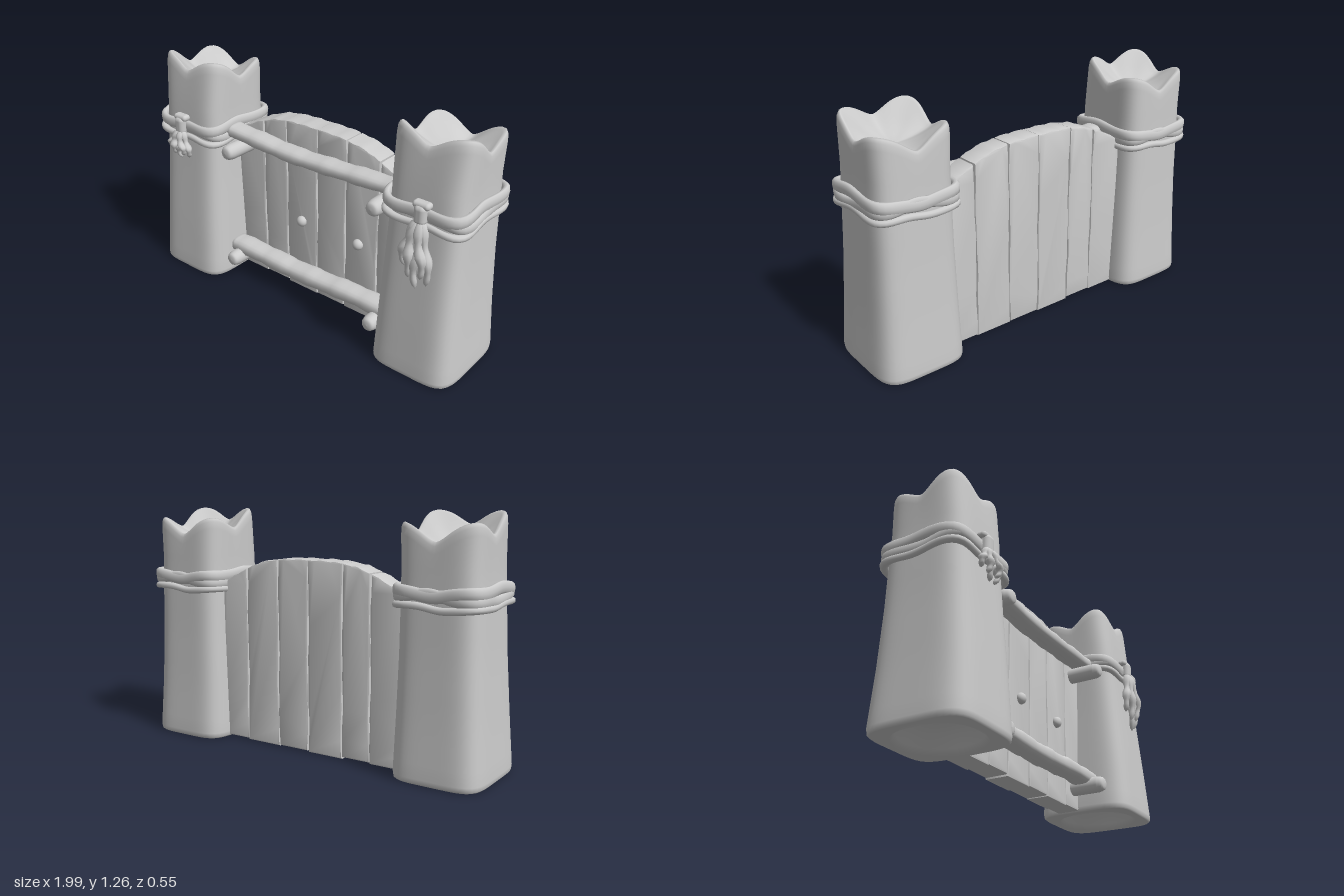
import * as THREE from 'three';
import { toCreasedNormals } from 'three/addons/utils/BufferGeometryUtils.js';
import { RoundedBoxGeometry } from 'three/addons/geometries/RoundedBoxGeometry.js';

const material = new THREE.MeshStandardMaterial({ color: 0xcccccc, roughness: 0.8 });
const lerp = THREE.MathUtils.lerp;

function add(parent, name, geometry, x = 0, y = 0, z = 0) {
  const mesh = new THREE.Mesh(geometry, material);
  mesh.name = name;
  mesh.position.set(x, y, z);
  parent.add(mesh);
  return mesh;
}

// Skin over a list of equal rings of [x, y, z] points
function loft(rings, closed = false) {
  const n = rings[0].length, m = rings.length, index = [];
  for (let i = 0; i < (closed ? m : m - 1); i++) {
    for (let j = 0; j < n; j++) {
      const k = (j + 1) % n, up = ((i + 1) % m) * n;
      const a = i * n + j, b = i * n + k, c = up + j, d = up + k;
      index.push(a, c, b, b, c, d);
    }
  }
  const g = new THREE.BufferGeometry();
  g.setAttribute('position', new THREE.Float32BufferAttribute(rings.flat(2), 3));
  g.setIndex(index);
  g.computeVertexNormals();
  return g;
}

// Unit rounded square: p = 2 is a circle, higher is squarer
function squircle(t, p) {
  const c = Math.cos(t), s = Math.sin(t);
  const r = (Math.abs(c) ** p + Math.abs(s) ** p) ** (-1 / p);
  return [c * r, s * r];
}
const ring = (n, f) => Array.from({ length: n }, (_, j) => f((j / n) * Math.PI * 2));

// Post outline by height: y, inner x, outer x, back z, front z
const levels = [
  [0, 0.53, 0.998, -0.265, 0.265], [0.3, 0.54, 0.98, -0.25, 0.242], [0.6, 0.55, 0.967, -0.241, 0.215],
  [0.87, 0.555, 0.962, -0.238, 0.193], [1.02, 0.555, 0.957, -0.236, 0.185], [1.26, 0.545, 0.972, -0.24, 0.16],
];
function outline(y) {
  let i = 0;
  while (i < levels.length - 2 && y > levels[i + 1][0]) i++;
  const a = levels[i], b = levels[i + 1];
  const t = THREE.MathUtils.clamp((y - a[0]) / (b[0] - a[0]), 0, 1);
  const [, x0, x1, z0, z1] = a.map((v, k) => lerp(v, b[k], t));
  return { cx: (x0 + x1) / 2, hx: (x1 - x0) / 2, cz: (z0 + z1) / 2, hz: (z1 - z0) / 2 };
}

function postGeometry(side) {
  const rimY = t => 1.155 + 0.035 * Math.sin(t) + 0.076 * Math.abs(Math.sin(2 * t)) ** 1.5;
  const slice = (scale, p, height) => ring(72, t => {
    const y = height(t), o = outline(y), [x, z] = squircle(t, p);
    return [side * o.cx + x * o.hx * scale, y, o.cz + z * o.hz * scale];
  });
  const rings = [];
  // hollow underside and rounded foot
  for (const [s, p, y] of [[0, 2, 0.12], [0.3, 2, 0.11], [0.55, 2, 0.075], [0.72, 2.2, 0.025], [0.78, 2.5, 0],
    [0.95, 5, 0], [0.985, 5, 0.008], [1, 5, 0.03]]) rings.push(slice(s, p, () => y));
  // flared trunk
  for (let y = 0.1; y < 1.05; y += 0.1) rings.push(slice(1, 5, () => y));
  // wavy rim and dished top
  for (const [s, d] of [[1, 0.055], [0.985, 0.02], [0.955, 0.004], [0.92, 0], [0.87, 0.012]])
    rings.push(slice(s, 4.6, t => rimY(t) - d));
  for (const s of [0.75, 0.6, 0.45, 0.3, 0.15, 0])
    rings.push(slice(s, 3.5, t => lerp(1.1, rimY(t) - 0.012, (s / 0.87) ** 2)));
  return loft(rings);
}

// Strap or cord wrapped around a post
function wrapGeometry(side, y, half, thick, tilt, phase) {
  const o = outline(y), rings = [];
  for (let i = 0; i < 72; i++) {
    const t = (i / 72) * Math.PI * 2, [x, z] = squircle(t, 5);
    const cy = y + tilt * Math.cos(2 * t + phase) + 0.006 * Math.sin(5 * t + phase);
    const bulge = 0.006 + 0.012 * Math.abs(Math.sin(2 * t)) ** 3;
    rings.push(ring(10, q => {
      const [a, b] = squircle(q, 2.6), r = bulge + thick * a;
      return [side * o.cx + x * (o.hx + r), cy - half * b, o.cz + z * (o.hz + r)];
    }));
  }
  return loft(rings, true);
}

// Tapered rag strand through the given points, tip first
function strandGeometry(points, radius) {
  const curve = new THREE.CatmullRomCurve3(points.map(p => new THREE.Vector3(...p)));
  const rings = [];
  for (let i = 0; i <= 16; i++) {
    const u = i / 16, p = curve.getPoint(u);
    const r = radius * Math.min(1, Math.sqrt(u * 3)) * (1 + 0.25 * Math.sin(u * 17)) * (i === 16 ? 0 : 1);
    rings.push(ring(8, t => [p.x + r * Math.cos(t), p.y, p.z + r * Math.sin(t)]));
  }
  return loft(rings);
}

// Slightly bent, hewn crossbar running along x
function railGeometry(ys, halfH, halfD, seed) {
  const n = 36, rings = [];
  const curve = new THREE.SplineCurve(ys.map((y, i) => new THREE.Vector2(lerp(-0.57, 0.57, i / (ys.length - 1)), y)));
  for (let i = 0; i <= n; i++) {
    const p = curve.getPoint(i / n), end = i === 0 || i === n ? 0 : 1;
    const k = end * (1 + 0.07 * Math.sin(i * 0.9 + seed) + 0.04 * Math.sin(i * 2.1));
    rings.push(ring(20, t => {
      const [a, b] = squircle(t, 3);
      return [p.x, p.y + a * halfH * k, -b * halfD * (0.6 * end + 0.4 * k)];
    }));
  }
  return loft(rings);
}

// Upright board with a sloping arched top and uneven edges
function plankGeometry(x0, x1, bottom, seed) {
  const top = x => 1.005 - 0.5 * Math.max(0, Math.abs(x) - 0.08) ** 2 - 0.12 * Math.max(0, Math.abs(x) - 0.3);
  const bevel = 0.01, a = x0 + bevel + 0.001, b = x1 - bevel - 0.001, pts = [];
  const wobble = y => 0.003 * Math.sin(y * 11 + seed) + 0.002 * Math.sin(y * 27 + seed * 2);
  for (let i = 0; i <= 12; i++) {
    const y = lerp(bottom + bevel, top(b) - bevel, i / 12);
    pts.push(new THREE.Vector2(b + wobble(y), y));
  }
  for (let i = 1; i < 6; i++) {
    const x = lerp(b, a, i / 6);
    pts.push(new THREE.Vector2(x, top(x) - bevel + 0.003 * Math.sin(i * 2 + seed)));
  }
  for (let i = 12; i >= 0; i--) {
    const y = lerp(bottom + bevel, top(a) - bevel, i / 12);
    pts.push(new THREE.Vector2(a + wobble(y + 2), y));
  }
  const g = new THREE.ExtrudeGeometry(new THREE.Shape(pts),
    { depth: 0.11, bevelThickness: bevel, bevelSize: bevel, bevelSegments: 2 });
  return toCreasedNormals(g, 0.7);
}

// Rounded peg pointing forward
function pegGeometry(r, length) {
  const profile = [[r, 0], [r, length * 0.7], [r * 0.95, length * 0.85], [r * 0.7, length * 0.97], [0, length]];
  const g = new THREE.LatheGeometry(new THREE.SplineCurve(profile.map(p => new THREE.Vector2(...p))).getPoints(14), 20);
  return g.rotateX(Math.PI / 2);
}

export function createModel() {
  const model = new THREE.Group();
  model.name = 'gate';

  for (const side of [-1, 1]) {
    const post = new THREE.Group();
    post.name = side > 0 ? 'leftPost' : 'rightPost';
    model.add(post);
    add(post, 'postTrunk', postGeometry(side));
    add(post, 'upperStrap', wrapGeometry(side, 0.895, 0.03, 0.016, 0.012, 0));
    add(post, 'crossStrap', wrapGeometry(side, 0.87, 0.026, 0.013, 0.016, 2.6));
    add(post, 'lowerCord', wrapGeometry(side, 0.828, 0.017, 0.016, 0.006, 1));

    // knot with a ragged tassel, long on one side and short on the other
    const kx = side * 0.775, len = side > 0 ? 0.3 : 0.12;
    add(post, 'knot', new RoundedBoxGeometry(0.062, 0.1, 0.06, 4, 0.024), kx, 0.89, 0.215);
    add(post, 'knotLoop', new RoundedBoxGeometry(0.09, 0.035, 0.05, 4, 0.017), kx, 0.935, 0.208);
    [[-0.062, 0.75, 0.235], [-0.03, 0.9, 0.25], [0.004, 1.08, 0.238], [0.035, 0.85, 0.252], [0.055, 0.98, 0.23]]
      .forEach(([dx, l, z], i) => {
        const bottom = 0.83 - len * l, bend = 0.012 * Math.sin(i * 2.3);
        add(post, 'tasselStrand', strandGeometry([
          [kx + dx, bottom, z - 0.005], [kx + dx * 1.15 + bend, lerp(bottom, 0.86, 0.3), z + 0.006],
          [kx + dx * 0.7 - bend, lerp(bottom, 0.86, 0.65), z], [kx + dx * 0.2, 0.87, 0.225]], side > 0 ? 0.022 : 0.018));
      });
  }

  // boards
  const seams = [-0.57, -0.37, -0.207, 0, 0.19, 0.395, 0.57];
  const bottoms = [0.004, 0.01, 0, 0.006, 0.002, 0.008];
  bottoms.forEach((b, i) => add(model, 'plank', plankGeometry(seams[i], seams[i + 1], b, i * 1.7), 0, 0, -0.125));

  // crossbars
  add(model, 'topRail', railGeometry([0.875, 0.86, 0.847, 0.852, 0.862, 0.872], 0.036, 0.058, 1), 0, 0, 0.043);
  add(model, 'bottomRail', railGeometry([0.165, 0.16, 0.153, 0.158, 0.168, 0.16], 0.042, 0.06, 4), 0, 0, 0.055);

  // pegs and studs
  for (const x of [-0.48, 0.48])
    for (const y of [0.79, 0.12]) add(model, 'peg', pegGeometry(0.043, 0.2), x, y, -0.015);
  for (const x of [-0.1, 0.28]) {
    const stud = add(model, 'stud', new THREE.SphereGeometry(0.03, 20, 14), x, 0.437, 0.002);
    stud.scale.z = 0.9;
  }
  return model;
}
